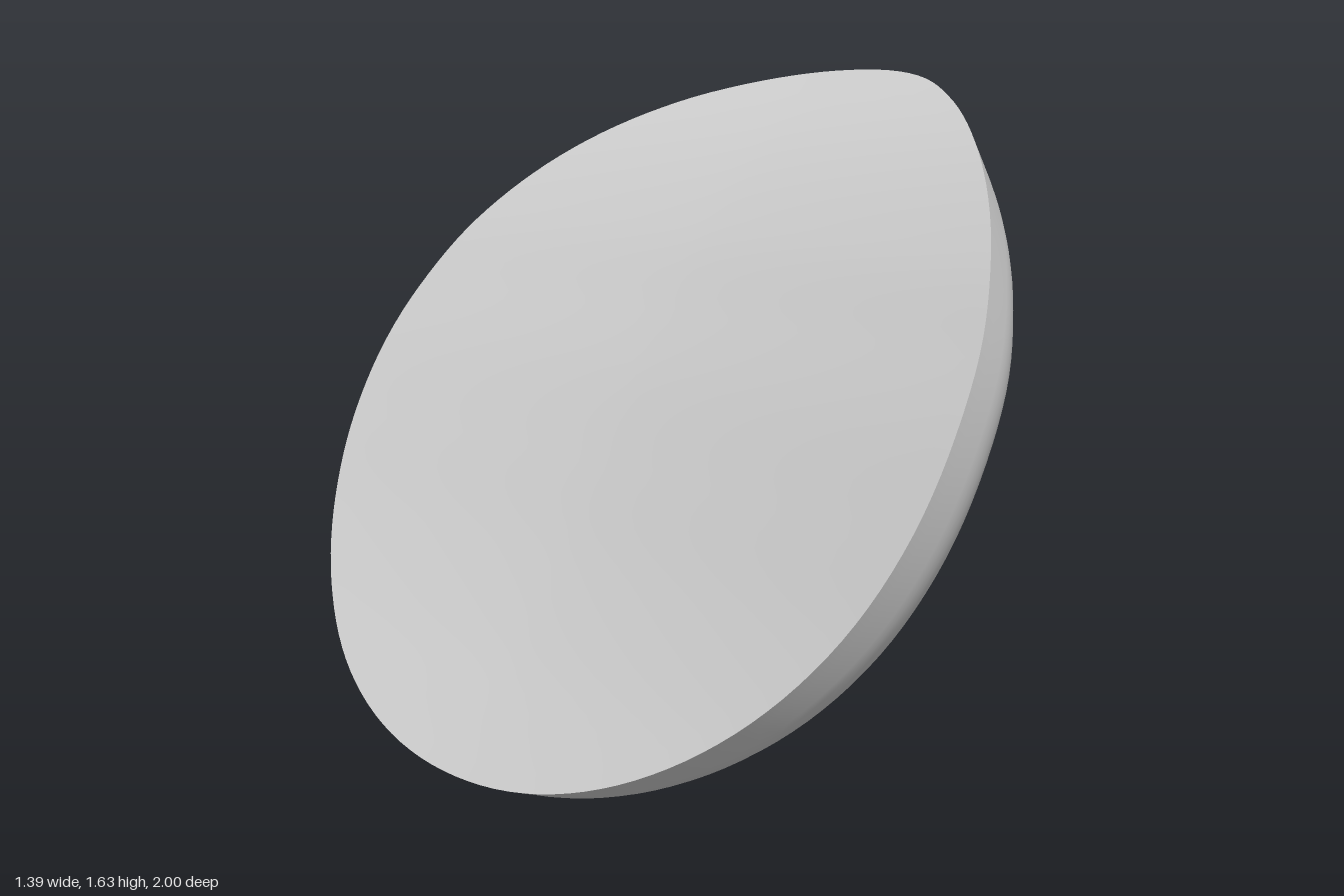
import * as THREE from 'three';

// Smooth interpolation through [position, value] pairs
function smooth(table) {
  const n = table.length;
  const slope = table.map((_, i) => {
    const a = table[Math.max(i - 1, 0)], b = table[Math.min(i + 1, n - 1)];
    return (b[1] - a[1]) / (b[0] - a[0]);
  });
  return (t) => {
    let i = 0;
    while (i < n - 2 && t > table[i + 1][0]) i++;
    const [t0, v0] = table[i], [t1, v1] = table[i + 1];
    const h = t1 - t0, u = THREE.MathUtils.clamp((t - t0) / h, 0, 1);
    const u2 = u * u, u3 = u2 * u;
    return v0 * (2 * u3 - 3 * u2 + 1) + v1 * (3 * u2 - 2 * u3)
      + h * (slope[i] * (u3 - 2 * u2 + u) + slope[i + 1] * (u3 - u2));
  };
}

// Centre line of the upper face: height to x
const spine = smooth([[0.045, -0.71], [0.15, -0.63], [0.3, -0.52], [0.5, -0.39], [0.7, -0.272],
  [0.9, -0.152], [1.05, -0.05], [1.24, 0.09], [1.43, 0.275], [1.555, 0.455], [1.63, 0.63]]);
// Downward tilt of the thickness direction, by height
const tilt = smooth([[0, 0.37], [0.25, 0.47], [0.5, 0.53], [0.9, 0.56], [1.05, 0.62],
  [1.24, 0.74], [1.43, 0.92], [1.63, 1.12]]);

// Rim outline seen from the side: a full upper arc over an elliptic lower one
const SEGMENTS = 144, CENTER_Y = 0.9;
const rim = Array.from({ length: SEGMENTS }, (_, j) => {
  const t = (j / SEGMENTS) * Math.PI * 2;
  const upper = Math.cos(t) > 0;
  const power = 2 / (upper ? 2.15 : 2);
  const z = Math.sign(Math.sin(t)) * Math.abs(Math.sin(t)) ** power;
  const rise = Math.abs(Math.cos(t)) ** power * (upper ? 0.73 : -0.855);
  return { z, y: CENTER_Y + rise + 0.01 * z };
});

// Point at a fraction of the radius, sunk by a depth through the thickness
function surfacePoint(edge, radius, depth) {
  const y = CENTER_Y + (edge.y - CENTER_Y) * radius;
  const z = edge.z * radius;
  const x = spine(y) - 0.06 * Math.abs(z) ** 1.6 - 0.08 * z * (y - 0.5);
  const a = tilt(y);
  return [x + depth * Math.cos(a), y - depth * Math.sin(a), z];
}

// Skin made of rings given as [radius fraction, depth]
function skin(name, rings) {
  const position = [], index = [];
  rings.forEach(([radius, depth], i) => {
    rim.forEach((edge, j) => {
      position.push(...surfacePoint(edge, radius, depth));
      if (i === rings.length - 1) return;
      const a = i * SEGMENTS + j, b = i * SEGMENTS + (j + 1) % SEGMENTS;
      const c = a + SEGMENTS, d = b + SEGMENTS;
      if (rings[i + 1][0] > 0) index.push(a, d, c);
      if (radius > 0) index.push(a, b, d);
    });
  });
  const geometry = new THREE.BufferGeometry();
  geometry.setAttribute('position', new THREE.Float32BufferAttribute(position, 3));
  geometry.setIndex(index);
  geometry.computeVertexNormals();
  const mesh = new THREE.Mesh(geometry, new THREE.MeshStandardMaterial({ color: 0xcccccc }));
  mesh.name = name;
  return mesh;
}

export function createModel() {
  const model = new THREE.Group();
  model.name = 'curvedPad';
  const STEPS = 24, THICKNESS = 0.2, ROUND = 0.12, INSET = 0.1;

  // Gently dished upper face with a sharp edge
  const upper = [];
  for (let i = 0; i <= STEPS; i++) upper.push([i / STEPS, 0]);

  // Side wall, rounded lower edge and underside
  const lower = [[1, 0], [1, 0.03], [1, THICKNESS - ROUND]];
  for (let i = 1; i <= 10; i++) {
    const a = (i / 10) * Math.PI / 2;
    lower.push([1 - INSET * (1 - Math.cos(a)), THICKNESS - ROUND + ROUND * Math.sin(a)]);
  }
  for (let i = 1; i <= STEPS; i++) lower.push([(1 - INSET) * (1 - i / STEPS), THICKNESS]);

  const body = new THREE.Group();
  body.name = 'padBody';
  body.add(skin('upperFace', upper), skin('rimAndUnderside', lower));

  // Centre the body and rest it on the ground plane
  const box = new THREE.Box3().setFromObject(body);
  const center = box.getCenter(new THREE.Vector3());
  body.position.set(-center.x, -box.min.y, -center.z);
  model.add(body);
  return model;
}
